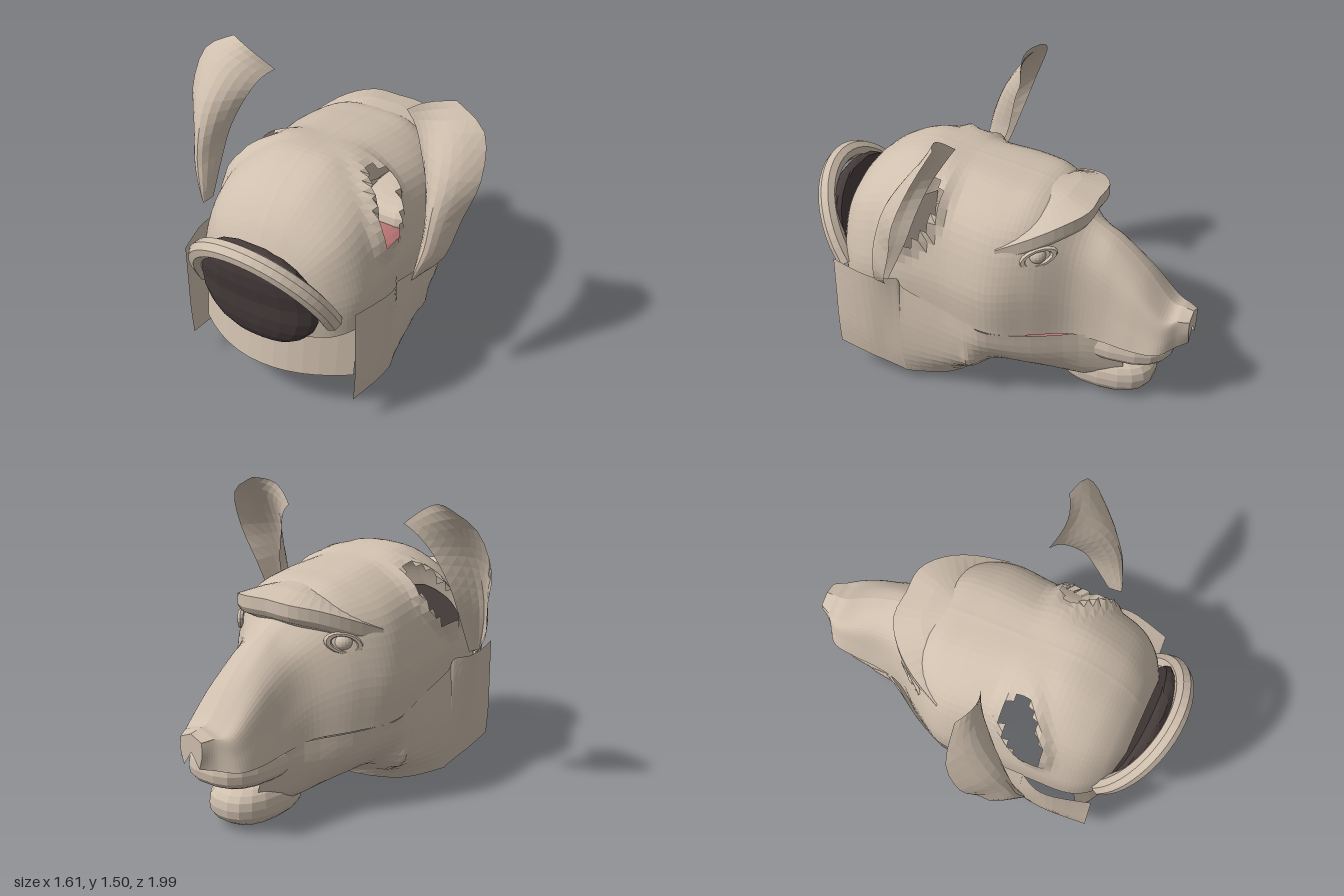
import * as THREE from 'three';

const mat = (name, color) => new THREE.MeshStandardMaterial({ name, color, side: THREE.DoubleSide });

// Faceted sheet through rows of [x, y, z] points; keep() can leave holes
function sheet(rows, keep = () => true) {
  const pos = [];
  for (let i = 0; i < rows.length - 1; i++) {
    for (let j = 0; j < rows[i].length - 1; j++) {
      const a = rows[i][j], b = rows[i][j + 1], c = rows[i + 1][j + 1], d = rows[i + 1][j];
      const mid = [0, 1, 2].map((k) => (a[k] + b[k] + c[k] + d[k]) / 4);
      if (keep(...mid)) pos.push(...a, ...b, ...c, ...a, ...c, ...d);
    }
  }
  const g = new THREE.BufferGeometry();
  g.setAttribute('position', new THREE.Float32BufferAttribute(pos, 3));
  g.computeVertexNormals();
  return g;
}

// Smoothly subdivides a list of number rows
function smooth(rows, sub) {
  const out = [], n = rows.length - 1;
  const at = (i) => rows[Math.max(0, Math.min(n, i))];
  for (let i = 0; i < n; i++) {
    for (let s = 0; s < sub; s++) {
      const t = s / sub;
      out.push(rows[i].map((b, k) => {
        const a = at(i - 1)[k], c = at(i + 1)[k], d = at(i + 2)[k];
        return b + 0.5 * t * (c - a + t * (2 * a - 5 * b + 4 * c - d + t * (3 * (b - c) + d - a)));
      }));
    }
  }
  out.push(rows[n]);
  return out;
}

const mirrorX = (pts) => pts.map(([x, y, z]) => [-x, y, z]);

// Flat-faceted rounded block, optionally reshaped by bend(point)
function blob(rx, ry, rz, x, y, z, power = 1, bend = () => {}) {
  const g = new THREE.SphereGeometry(1, 18, 12);
  const p = g.attributes.position, v = new THREE.Vector3();
  const f = (c) => Math.sign(c) * Math.abs(c) ** power;
  for (let i = 0; i < p.count; i++) {
    v.set(rx * f(p.getX(i)), ry * f(p.getY(i)), rz * f(p.getZ(i)));
    bend(v);
    p.setXYZ(i, x + v.x, y + v.y, z + v.z);
  }
  const flat = g.toNonIndexed();
  flat.computeVertexNormals();
  return flat;
}

export function createModel() {
  const root = new THREE.Group();
  root.name = 'animalHead';
  const skin = mat('beigeSkin', 0xcfbfae);
  const dark = mat('darkBrown', 0x463b3b);
  const pink = mat('mouthPink', 0xb87674);
  const add = (name, geometry, material = skin) => {
    const m = new THREE.Mesh(geometry, material);
    m.name = name;
    root.add(m);
    return m;
  };

  // Skull: z, top y, crown half width, widest x, its y, seam x, seam y
  const skullStations = [
    [0.79, 0.88, 0.10, 0.25, 0.64, 0.24, 0.48],
    [0.72, 1.01, 0.13, 0.36, 0.68, 0.36, 0.48],
    [0.60, 1.12, 0.16, 0.44, 0.70, 0.44, 0.50],
    [0.40, 1.20, 0.17, 0.46, 0.74, 0.46, 0.52],
    [0.15, 1.17, 0.18, 0.46, 0.72, 0.46, 0.50],
    [-0.10, 1.14, 0.20, 0.48, 0.70, 0.47, 0.46],
    [-0.28, 1.10, 0.18, 0.39, 0.70, 0.38, 0.44],
    [-0.45, 0.95, 0.08, 0.25, 0.62, 0.26, 0.42],
    [-0.60, 0.86, 0.08, 0.20, 0.53, 0.22, 0.39],
    [-0.75, 0.73, 0.08, 0.19, 0.48, 0.21, 0.37],
    [-0.88, 0.58, 0.08, 0.17, 0.44, 0.19, 0.37],
    [-0.95, 0.56, 0.08, 0.10, 0.46, 0.10, 0.38],
    [-1.00, 0.55, 0.06, 0.07, 0.46, 0.05, 0.39],
  ];
  // Oval openings at the ear roots, each with a raised rim
  const earHole = (y, z) =>
    Math.hypot((z - 0.31 + 0.4 * (y - 1)) / 0.1, (y - 0.99) / 0.15);
  const raiseRim = ([x, y, z]) => {
    const lift = 0.035 * Math.exp(-(((earHole(y, z) - 1.1) / 0.3) ** 2)) * Math.min(1, x / 0.3);
    return [x + lift, y + lift * 0.5, z];
  };
  const skullRows = smooth(skullStations, 7).map(([z, top, f, w, wy, sw, sy]) => {
    const side = smooth([
      [0, top, z], [f, top - 0.025, z],
      [f + 0.68 * (w - f), top - 0.38 * (top - wy), z],
      [w, wy, z], [sw, sy, z],
    ], 6).map(raiseRim);
    return [...mirrorX(side).reverse(), ...side.slice(1)];
  });
  skullRows.push(skullRows[skullRows.length - 1].map((p) => [0, 0.46, p[2]]));
  add('skull', sheet(skullRows, (x, y, z) => earHole(y, z) > 1));

  // Jaw, cheeks and open neck: z, then four x, y pairs from seam to lower edge
  const jawStations = [
    [0.73, 0.48, 0.67, 0.48, 0.45, 0.48, 0.3, 0.47, 0.15],
    [0.55, 0.53, 0.67, 0.515, 0.45, 0.5, 0.25, 0.48, 0.12],
    [0.45, 0.53, 0.665, 0.51, 0.43, 0.49, 0.22, 0.475, 0.1],
    [0.37, 0.49, 0.66, 0.495, 0.4, 0.485, 0.2, 0.46, 0.07],
    [0.34, 0.475, 0.6, 0.49, 0.39, 0.48, 0.19, 0.45, 0.06],
    [0.15, 0.465, 0.53, 0.47, 0.35, 0.45, 0.18, 0.36, 0.05],
    [0.05, 0.473, 0.5, 0.47, 0.34, 0.42, 0.17, 0.2, 0.05],
    [0, 0.475, 0.49, 0.47, 0.33, 0.4, 0.17, 0, 0.06],
    [-0.1, 0.475, 0.46, 0.44, 0.32, 0.3, 0.19, 0, 0.12],
    [-0.3, 0.38, 0.44, 0.35, 0.28, 0.22, 0.15, 0, 0.1],
    [-0.5, 0.245, 0.42, 0.235, 0.27, 0.17, 0.12, 0, 0.04],
    [-0.7, 0.17, 0.4, 0.14, 0.25, 0.1, 0.13, 0, 0.05],
  ];
  const jawHalf = smooth(jawStations, 3).map(([z, ...p]) =>
    smooth([0, 2, 4, 6].map((k) => [Math.max(0, p[k]), p[k + 1], z]), 4));
  add('leftJaw', sheet(jawHalf));
  add('rightJaw', sheet(jawHalf.map(mirrorX)));

  // Lips, chin and mouth interior
  const taperFront = (v) => { v.x *= 1 + 0.25 * Math.min(0, v.z + 0.05); };
  add('upperLip', blob(0.215, 0.105, 0.285, 0, 0.335, -0.645, 0.72, taperFront));
  add('lowerLip', blob(0.175, 0.118, 0.25, 0, 0.118, -0.58, 0.8, taperFront));
  add('mouthLining', blob(0.155, 0.1, 0.29, 0, 0.23, -0.37, 0.85), pink);

  // Overhanging brow: x, y, z along the brim
  const brimHalf = smooth([
    [0, 1.07, -0.49], [0.14, 1.065, -0.49], [0.26, 1.04, -0.41],
    [0.35, 0.99, -0.29], [0.42, 0.92, -0.13],
  ], 3);
  const brim = [...mirrorX(brimHalf).reverse(), ...brimHalf.slice(1)];
  const browRow = ([x, y, z]) => [
    [0.4, 0.04], [0.7, 0.03], [1, 0], [1, -0.06], [0.96, -0.09], [0.75, -0.14],
  ].map(([s, dy]) => [x * s, y + dy, -0.05 + (z + 0.05) * s]);
  add('brow', sheet(brim.map(browRow)));

  // Eyes with almond lids
  for (const s of [1, -1]) {
    add('eyeball', blob(0.05, 0.045, 0.05, s * 0.305, 0.875, -0.29));
    const lid = add('eyelid', new THREE.TorusGeometry(0.065, 0.016, 6, 16).toNonIndexed());
    lid.geometry.computeVertexNormals();
    lid.scale.set(1.25, 0.65, 1);
    lid.position.set(s * 0.325, 0.875, -0.31);
    lid.rotation.set(0, s * 2.2, s * 0.3);
  }

  // Ears: cupped sheets between an inner and an outer edge
  const inner = [[0.585, 0.72, 0.36], [0.575, 0.95, 0.26], [0.55, 1.08, 0.22],
    [0.49, 1.23, 0.17], [0.43, 1.33, 0.12], [0.365, 1.385, 0.09]];
  const outer = [[0.61, 0.71, 0.36], [0.705, 0.82, 0.31], [0.75, 1.0, 0.25],
    [0.805, 1.2, 0.19], [0.77, 1.4, 0.11], [0.61, 1.5, 0.08]];
  const outerFine = smooth(outer, 3);
  const earRows = smooth(inner, 3).map((a, i) => {
    const b = outerFine[i], row = [];
    const depth = 0.04 + 0.09 * Math.sin(Math.PI * Math.min(1, 0.1 + i / 15));
    const crest = 0.035 * (i / 15) ** 4;
    for (let j = 0; j <= 8; j++) {
      const t = j / 8, arch = Math.sin(Math.PI * t);
      row.push([
        a[0] + (b[0] - a[0]) * t,
        a[1] + (b[1] - a[1]) * t + crest * arch,
        a[2] + (b[2] - a[2]) * t + depth * arch,
      ]);
    }
    return row;
  });
  add('leftEar', sheet(earRows));
  add('rightEar', sheet(earRows.map(mirrorX)));

  // Nape panel below the rear opening
  const nape = [0, 1, 2, 3].map((i) => {
    const row = [];
    for (let j = -6; j <= 6; j++) {
      const u = j / 6;
      row.push([0.43 * u, 0.23 + 0.12 * i, 0.82 - 0.016 * i - 0.16 * u * u]);
    }
    return row;
  });
  add('napePanel', sheet(nape));

  // Dark dome at the back: flat inside, its upper half leaning out to the ring
  const leanOut = (v) => {
    v.z = Math.max(v.z, -0.02) + 0.25 * Math.max(0, v.y);
  };
  add('rearDome', blob(0.325, 0.285, 0.11, 0, 0.67, 0.78, 0.92, leanOut), dark);

  // Leaning half ring around the dome
  const arc = [];
  for (let i = 0; i <= 12; i++) {
    const a = (Math.PI * i) / 12;
    arc.push(new THREE.Vector3(0.36 * Math.cos(a), 0.58 + 0.38 * Math.sin(a), 0.73 + 0.215 * Math.sin(a)));
  }
  const ring = new THREE.TubeGeometry(new THREE.CatmullRomCurve3(arc), 28, 0.048, 8).toNonIndexed();
  ring.computeVertexNormals();
  add('rearRing', ring);

  return root;
}
